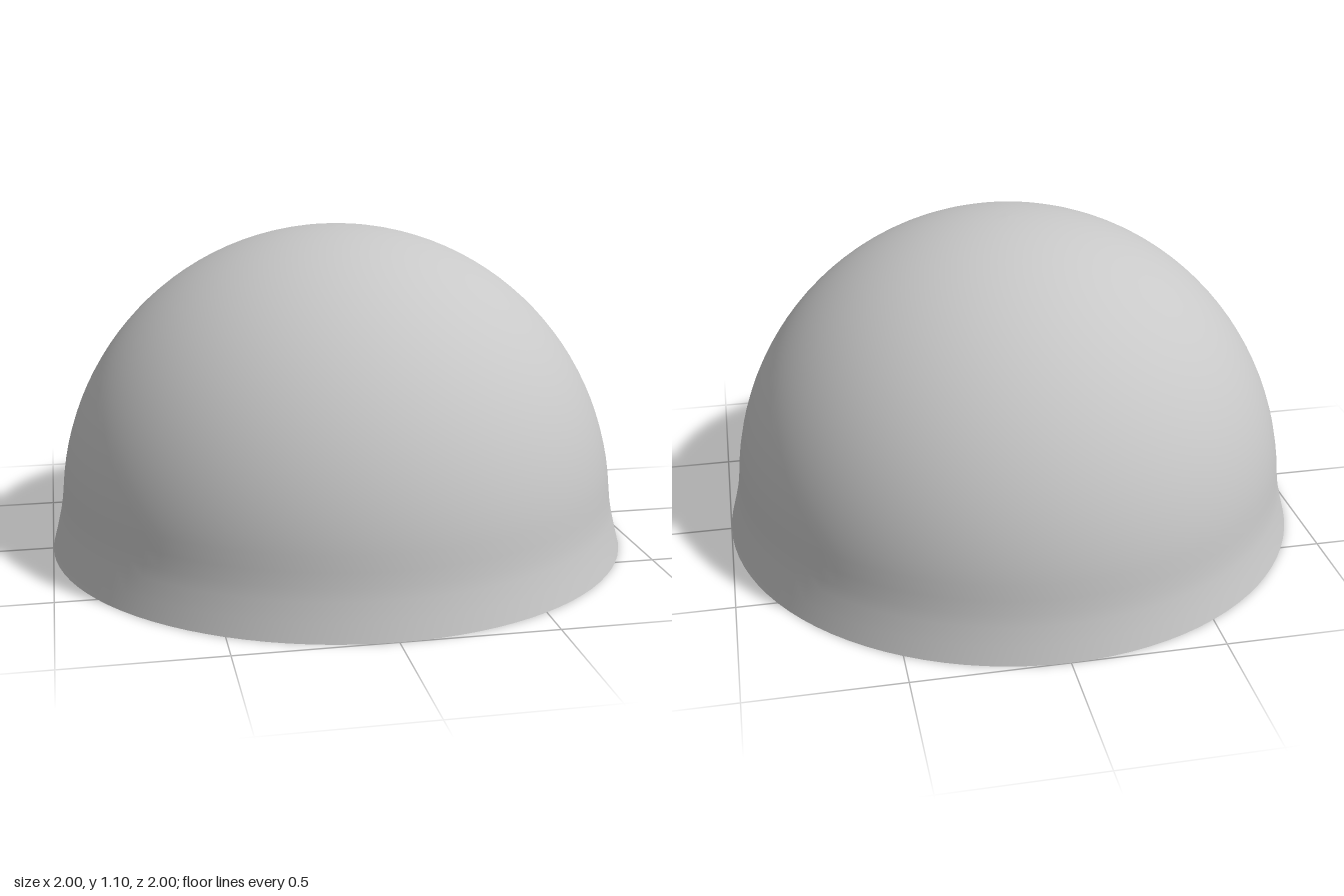
import * as THREE from 'three';

const SEGMENTS = 96;
const CENTRE_Y = 0.14; // height of the dome's sphere centre

// Quarter-circle profile from angle a0 to a1 (radians above the horizontal)
function arc(radius, a0, a1, steps = 28) {
  return Array.from({ length: steps + 1 }, (_, i) => {
    const a = a0 + ((a1 - a0) * i) / steps;
    return [Math.max(0, radius * Math.cos(a)), CENTRE_Y + radius * Math.sin(a)];
  });
}

export function createModel() {
  const group = new THREE.Group();
  const grey = new THREE.MeshStandardMaterial({ color: 0xc8c8c8 });
  grey.name = 'light grey';

  // Each smooth run of the profile is its own lathe, so edges between runs stay sharp
  const turn = (name, profile) => {
    const points = profile.map(([r, y]) => new THREE.Vector2(r, y));
    const mesh = new THREE.Mesh(new THREE.LatheGeometry(points, SEGMENTS), grey);
    mesh.name = name;
    group.add(mesh);
  };

  const top = Math.PI / 2;

  // Outer shell: flared skirt running into the dome
  turn('outerShell', [[1, 0], [0.984, 0.06], [0.97, 0.12], [0.963, 0.16], ...arc(0.96, 0.07, top)]);

  // Inner shell: hollow dome above a straight wall
  turn('innerShell', [...arc(0.945, top, 0), [0.945, 0.025]]);

  // Slightly bevelled underside of the rim
  turn('rimUnderside', [[0.945, 0.025], [1, 0]]);

  // Ring plate inside, with a round opening
  const hole = 0.506, low = 0.274, high = 0.324;
  turn('plateUnderside', [[hole, low], [0.936, low]]);
  turn('plateTop', [[0.927, high], [hole, high]]);
  turn('plateOpeningWall', [[hole, high], [hole, low]]);

  return group;
}
